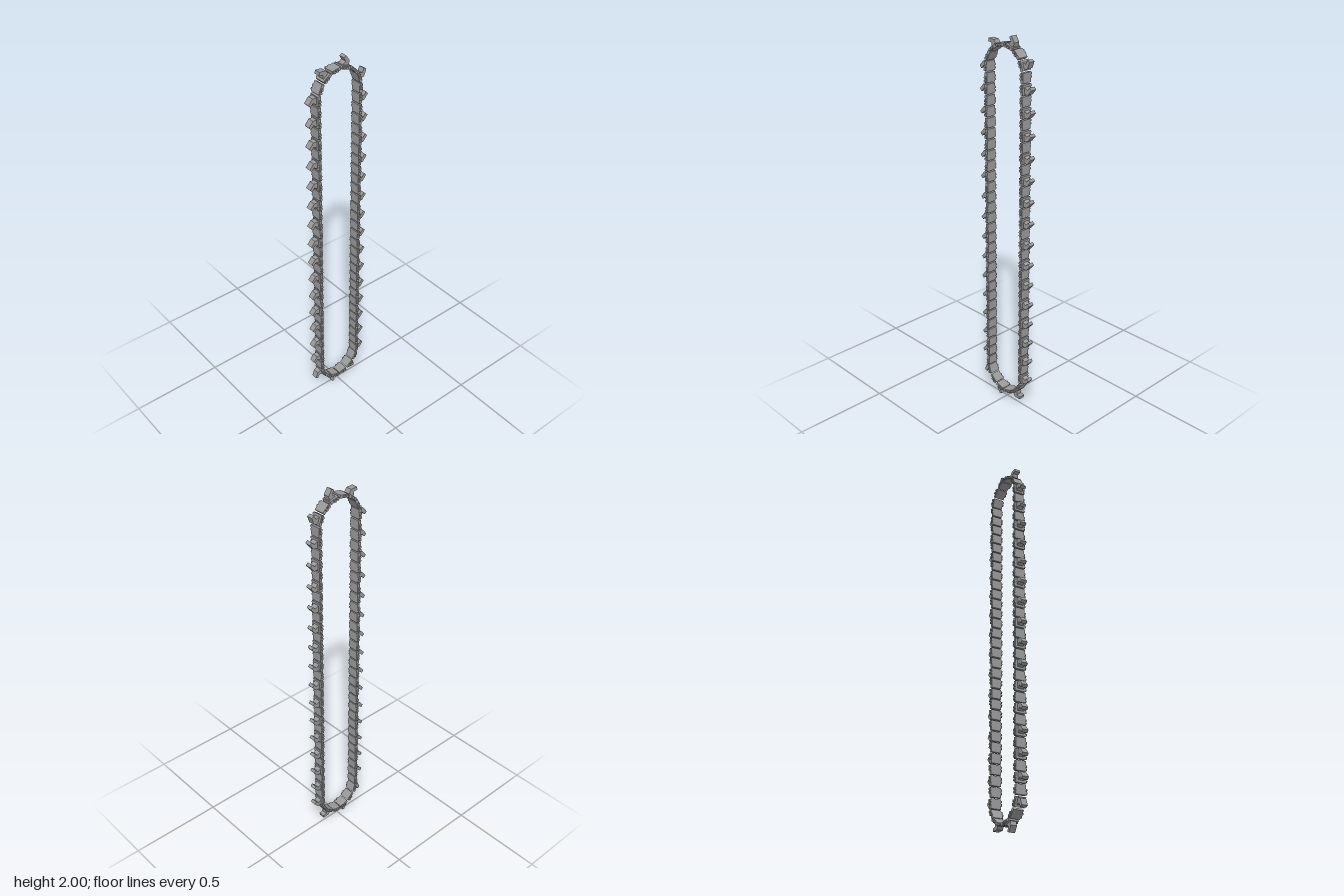
import * as THREE from 'three';

const RADIUS = 0.122;      // half width of the loop
const HALF_RUN = 0.828;    // half length of each straight run
const TEETH = 36;

// Point and outward angle on the loop; s = 0 where the right run meets the top arc
function loopAt(s) {
  const run = 2 * HALF_RUN, arc = Math.PI * RADIUS, half = run + arc;
  const total = 2 * half;
  s = ((s % total) + total) % total;
  const turn = s >= half ? Math.PI : 0;
  if (turn) s -= half;
  const p = new THREE.Vector2();
  let angle;
  if (s < arc) {
    angle = s / RADIUS;
    p.set(RADIUS * Math.cos(angle), HALF_RUN + RADIUS * Math.sin(angle));
  } else {
    angle = Math.PI;
    p.set(-RADIUS, HALF_RUN - (s - arc));
  }
  if (turn) p.negate();
  return { x: p.x, y: p.y + 1, angle: angle + turn };
}

export function createModel() {
  const model = new THREE.Group();
  model.name = 'cuttingChain';
  const steel = new THREE.MeshStandardMaterial({ color: 0x999999, flatShading: true });
  steel.name = 'steel grey';

  // Link frame: x points outward, y along the direction of travel
  const plateGeo = new THREE.BoxGeometry(0.016, 0.05, 0.054);
  const pinGeo = new THREE.CylinderGeometry(0.007, 0.007, 0.068, 8);
  pinGeo.rotateX(Math.PI / 2);

  // Hooked tooth profile leaning forward
  const profile = [
    [0.004, -0.018], [0.03, -0.018], [0.053, 0.009], [0.042, 0.021],
    [0.026, 0.005], [0.016, 0.013], [0.004, 0.017],
  ].map(([h, u]) => new THREE.Vector2(h, u));
  const toothGeo = new THREE.ExtrudeGeometry(new THREE.Shape(profile), { depth: 0.032, bevelEnabled: false });
  toothGeo.translate(0, 0, -0.016);

  const add = (parent, geo, name, y = 0) => {
    const mesh = new THREE.Mesh(geo, steel);
    mesh.name = name;
    mesh.position.y = y;
    parent.add(mesh);
  };

  // Links alternate between toothed and plain around the loop
  const length = 4 * HALF_RUN + 2 * Math.PI * RADIUS;
  const pitch = length / (TEETH * 2);
  for (let i = 0; i < TEETH * 2; i++) {
    const { x, y, angle } = loopAt(0.042 + i * pitch);
    const link = new THREE.Group();
    link.name = i % 2 ? 'plainLink' : 'toothedLink';
    link.position.set(x, y, 0);
    link.rotation.z = angle;
    add(link, plateGeo, 'plate', 0.002);
    add(link, pinGeo, 'rearPin', 0.001);
    add(link, pinGeo, 'frontPin', 0.017);
    if (i % 2 === 0) add(link, toothGeo, 'tooth');
    model.add(link);
  }
  return model;
}
